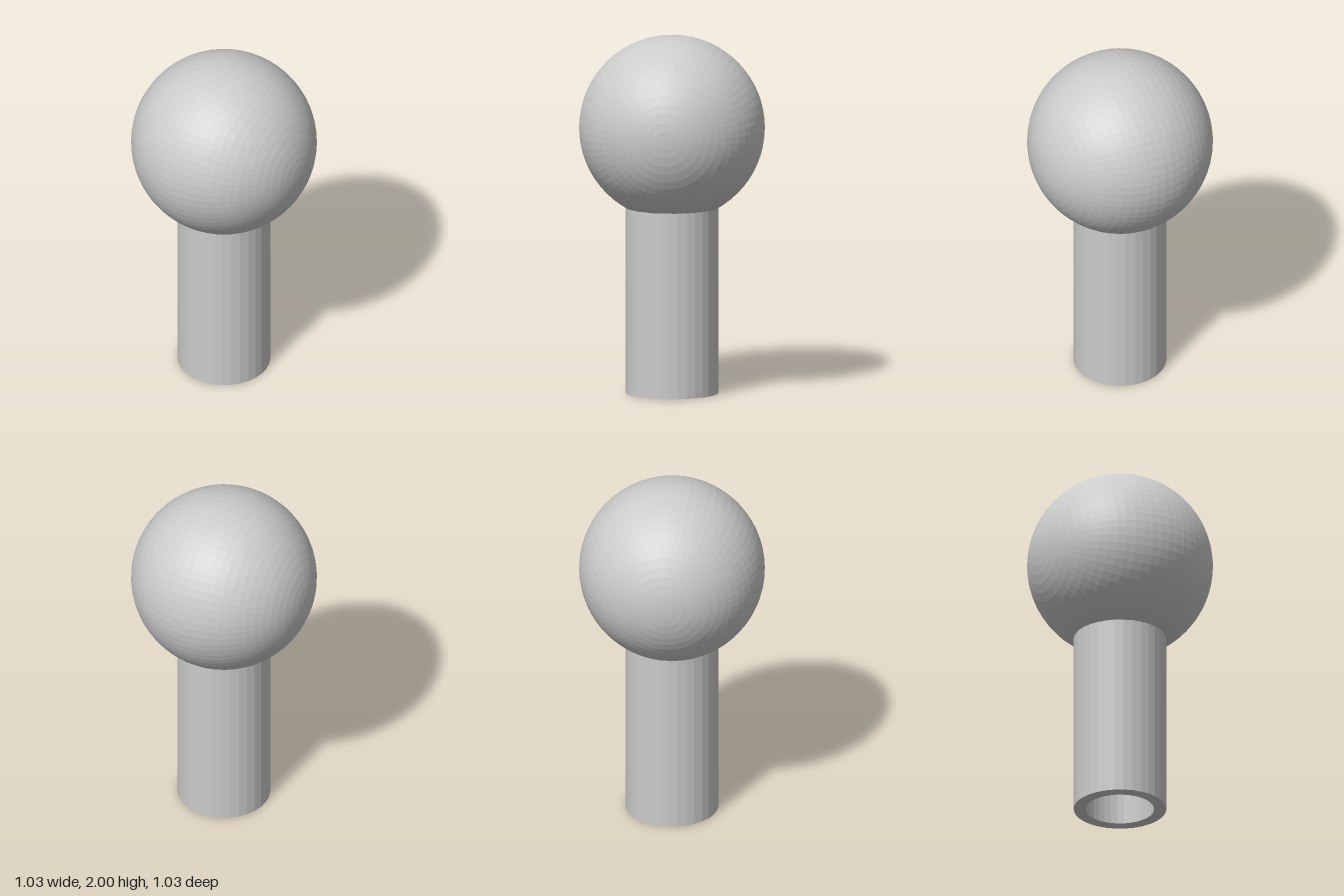
import * as THREE from 'three';

const BALL_RADIUS = 0.515;
const BALL_Y = 2 - BALL_RADIUS;
const STEM_RADIUS = BALL_RADIUS / 2;
const BORE_RADIUS = 0.19;
const STEM_TOP = 1.045; // just inside the ball

export function createModel() {
  const group = new THREE.Group();
  const material = new THREE.MeshStandardMaterial({ color: 0xcccccc, flatShading: true });

  // Faceted ball with its poles facing front and back
  const ballGeometry = new THREE.SphereGeometry(BALL_RADIUS, 64, 32);
  ballGeometry.rotateX(Math.PI / 2);
  const ball = new THREE.Mesh(ballGeometry, material);
  ball.name = 'ball';
  ball.position.y = BALL_Y;
  group.add(ball);

  // Hollow stem: up the bore is closed off by the ball, open at the base
  const profile = [
    [BORE_RADIUS, STEM_TOP],
    [BORE_RADIUS, 0],
    [STEM_RADIUS, 0],
    [STEM_RADIUS, STEM_TOP],
  ].map(([r, y]) => new THREE.Vector2(r, y));
  const stem = new THREE.Mesh(new THREE.LatheGeometry(profile, 32), material);
  stem.name = 'hollowStem';
  group.add(stem);

  return group;
}
